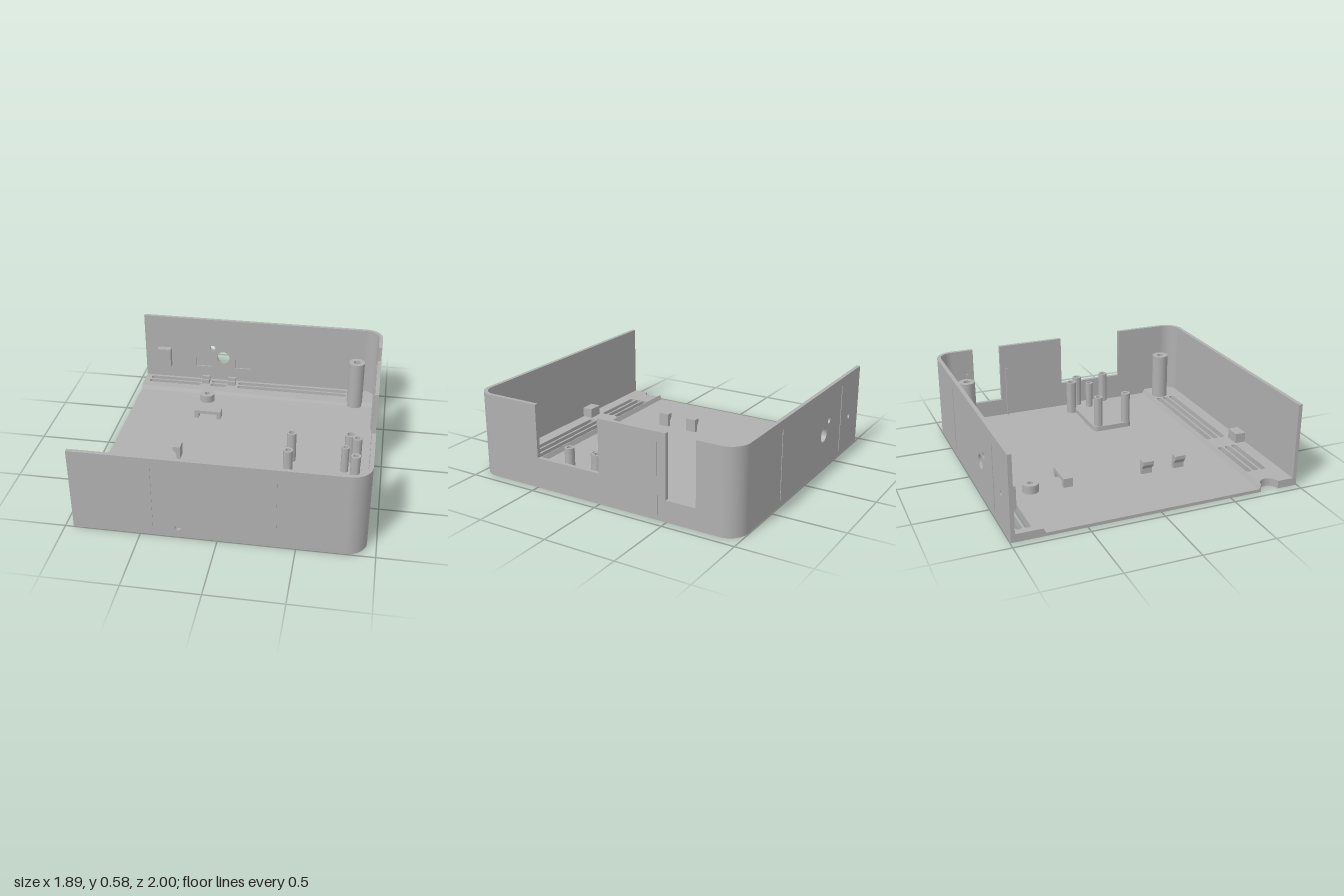
import * as THREE from 'three';
import { toCreasedNormals } from 'three/addons/utils/BufferGeometryUtils.js';

const L = -0.945, R = 0.94, Z = 0.995;   // plan limits
const T = 0.027, H = 0.583, CR = 0.13;   // wall thickness, wall height, corner radius
const FLOOR = 0.022, STRIP = 0.055;      // floor and raised strip levels

export function createModel() {
  const group = new THREE.Group();
  const plastic = new THREE.MeshStandardMaterial({ color: 0xb0b0b0 });
  plastic.name = 'grey plastic';

  const add = (name, geo, x = 0, y = 0, z = 0) => {
    const mesh = new THREE.Mesh(geo, plastic);
    mesh.name = name;
    mesh.position.set(x, y, z);
    group.add(mesh);
    return mesh;
  };
  const extrude = (shape, depth) =>
    toCreasedNormals(new THREE.ExtrudeGeometry(shape, { depth, bevelEnabled: false, curveSegments: 16 }), 0.6);
  // Plan shapes use (x, -z); side shapes use (-z, y)
  const slab = (name, shape, y, h) => add(name, extrude(shape, h).rotateX(-Math.PI / 2), 0, y, 0);
  const sideways = (name, shape, x, w) => add(name, extrude(shape, w).rotateY(Math.PI / 2), x, 0, 0);
  const box = (name, x0, x1, y0, y1, z0, z1) =>
    add(name, new THREE.BoxGeometry(x1 - x0, y1 - y0, z1 - z0), (x0 + x1) / 2, (y0 + y1) / 2, (z0 + z1) / 2);
  const poly = pts => new THREE.Shape(pts.map(p => new THREE.Vector2(...p)));
  const circle = (x, y, r) => new THREE.Path().absarc(x, y, r, 0, Math.PI * 2, true);
  const rect = (x, y, w, h) => new THREE.Path([[-1, -1], [-1, 1], [1, 1], [1, -1]].map(
    ([a, b]) => new THREE.Vector2(x + a * w / 2, y + b * h / 2)));
  const slot = (x0, x1, z, w = 0.04) => {
    const r = w / 2;
    const p = new THREE.Path();
    p.absarc(x1 - r, -z, r, -Math.PI / 2, Math.PI / 2, false);
    p.absarc(x0 + r, -z, r, Math.PI / 2, Math.PI * 1.5, false);
    p.closePath();
    return p;
  };

  // Hole layouts
  const frontSlots = [0.75, 0.805, 0.86].flatMap(z => [slot(-0.75, -0.33, z), slot(-0.18, 0.69, z)]);
  const backSlots = [-0.87, -0.925].flatMap(z =>
    [slot(-0.9, -0.48, z), slot(-0.4, -0.27, z), slot(-0.18, 0.69, z)]);
  const edgeSlot = slot(-0.9, 0.69, -0.972, 0.03);
  const boreHoles = [[0.76, -0.8], [0.76, 0.79]].map(([x, z]) => circle(x, -z, 0.048));

  // Floor with rounded right corners and a half-round notch at the open side
  const floor = new THREE.Shape();
  floor.moveTo(L, -Z);
  floor.lineTo(R - CR, -Z);
  floor.absarc(R - CR, -Z + CR, CR, -Math.PI / 2, 0, false);
  floor.lineTo(R, Z - CR);
  floor.absarc(R - CR, Z - CR, CR, 0, Math.PI / 2, false);
  floor.lineTo(L, Z);
  floor.lineTo(L, -0.725);
  floor.absarc(L, -0.79, 0.065, Math.PI / 2, -Math.PI / 2, true);
  floor.closePath();
  floor.holes.push(...frontSlots, ...backSlots, edgeSlot, ...boreHoles,
    circle(0.77, -0.03, 0.024), circle(0.745, -0.17, 0.016), circle(-0.39, 0.69, 0.02));
  slab('floor', floor, 0, FLOOR);

  // Raised vent strips along the front and back walls
  const inR = R - T, inZ = Z - T, ir = CR - T;
  const front = new THREE.Shape();
  front.moveTo(L, -inZ);
  front.lineTo(inR - ir, -inZ);
  front.absarc(inR - ir, -inZ + ir, ir, -Math.PI / 2, 0, false);
  front.lineTo(inR, -0.725);
  front.lineTo(L, -0.725);
  front.absarc(L, -0.79, 0.065, Math.PI / 2, -Math.PI / 2, true);
  front.closePath();
  front.holes.push(...frontSlots, boreHoles[1]);
  slab('frontVentStrip', front, FLOOR, STRIP - FLOOR);
  const back = new THREE.Shape();
  back.moveTo(L, 0.788);
  back.lineTo(inR, 0.788);
  back.lineTo(inR, inZ - ir);
  back.absarc(inR - ir, inZ - ir, ir, 0, Math.PI / 2, false);
  back.lineTo(L, inZ);
  back.closePath();
  back.holes.push(...backSlots, boreHoles[0]);
  slab('backVentStrip', back, FLOOR, STRIP - FLOOR);
  sideways('frontStripSlope', poly([[-0.725, FLOOR], [-0.71, FLOOR], [-0.725, STRIP]]), L, inR - L);
  sideways('backStripSlope', poly([[0.788, FLOOR], [0.788, STRIP], [0.772, FLOOR]]), L, inR - L);

  // Front and back walls; the back has an inner layer with two pockets
  const wall = holes => {
    const s = poly([[L, FLOOR], [R - CR, FLOOR], [R - CR, H], [L, H]]);
    s.holes.push(...holes);
    return s;
  };
  add('frontWall', extrude(wall([circle(-0.255, 0.07, 0.02)]), T), 0, 0, inZ);
  const backHoles = [circle(-0.31, 0.255, 0.05), circle(-0.395, 0.335, 0.022), circle(-0.77, 0.25, 0.018)];
  const pockets = [-0.47, -0.15].map(x => rect(x, 0.205, 0.13, 0.075));
  add('backWall', extrude(wall(backHoles), 0.015), 0, 0, -Z);
  add('backWallInnerLayer', extrude(wall([...backHoles, ...pockets]), T - 0.015), 0, 0, -Z + 0.015);

  // Rounded corners
  for (const s of [1, -1]) {
    const c = new THREE.Shape();
    const cx = R - CR, cy = s * (Z - CR);
    c.absarc(cx, cy, CR, 0, s * Math.PI / 2, s < 0);
    c.absarc(cx, cy, ir, s * Math.PI / 2, 0, s > 0);
    c.closePath();
    slab(s > 0 ? 'backCorner' : 'frontCorner', c, FLOOR, H - FLOOR);
  }

  // Right wall with two cut-outs
  const e = Z - CR;
  sideways('rightWall', poly([[-e, FLOOR], [e, FLOOR], [e, H], [0.705, H], [0.705, 0.147], [0.495, 0.147],
    [0.495, H], [0, H], [0, 0.212], [-0.49, 0.212], [-0.49, H], [-e, H]]), inR, T);
  for (const z of [-0.757, -0.45]) box('guideRail', inR - 0.014, inR, FLOOR, 0.4, z - 0.007, z + 0.007);

  // Thin outer ribs
  const d = 0.004;
  for (const x of [-0.42, 0.37]) box('frontRib', x - 0.005, x + 0.005, 0.04, 0.52, Z - d, Z + d);
  for (const x of [-0.61, 0.37]) box('backRib', x - 0.005, x + 0.005, 0.04, 0.52, -Z - d, -Z + d);
  box('rightRib', R - d, R + d, 0.04, 0.52, -0.435, -0.425);

  // Hollow posts; hole is closed at level 'b' when blind
  const post = (name, x, z, profile) =>
    add(name, toCreasedNormals(new THREE.LatheGeometry(profile.map(p => new THREE.Vector2(...p)), 32), 0.6), x, 0, z);
  const tube = (ro, ri, h, y0 = 0.002) => [[ro, y0], [ro, h], [ri, h], [ri, y0]];
  const blind = (ro, ri, h, b) => [[ro, FLOOR], [ro, h], [ri, h], [ri, b], [0, b]];
  for (const z of [-0.8, 0.79]) {
    post('cornerScrewPost', 0.76, z,
      [[0.06, 0.004], [0.06, 0.395], [0.026, 0.395], [0.026, 0.1], [0.048, 0.1], [0.048, 0.004]]);
  }
  post('shortStandoff', -0.39, -0.69, tube(0.056, 0.02, 0.08));
  post('sidePost', 0.77, 0.03, tube(0.037, 0.024, 0.27));
  post('middlePost', 0.745, 0.17, tube(0.027, 0.016, 0.252));

  // Raised mounting pad with four posts
  const pad = new THREE.Shape();
  const pr = 0.035;
  pad.absarc(0.862 - pr, -0.05 - pr, pr, 0, Math.PI / 2, false);
  pad.absarc(0.328 + pr, -0.05 - pr, pr, Math.PI / 2, Math.PI, false);
  pad.absarc(0.328 + pr, -0.353 + pr, pr, Math.PI, Math.PI * 1.5, false);
  pad.absarc(0.862 - pr, -0.353 + pr, pr, Math.PI * 1.5, Math.PI * 2, false);
  pad.closePath();
  pad.holes.push(circle(0.745, -0.17, 0.016));
  slab('mountingPad', pad, FLOOR, 0.036);
  for (const x of [0.365, 0.822]) {
    for (const z of [0.095, 0.316]) post('mountingPost', x, z, blind(0.033, 0.019, 0.285, 0.1));
  }

  // Cable bridge on the floor
  box('bridgeTop', -0.437, -0.235, 0.06, 0.085, -0.475, -0.41);
  box('bridgeLeg', -0.437, -0.405, FLOOR, 0.06, -0.475, -0.41);
  box('bridgeLeg', -0.267, -0.235, FLOOR, 0.06, -0.475, -0.41);

  // Floor hooks, wider at the top
  const hook = poly([[-0.45, FLOOR], [-0.422, FLOOR], [-0.422, 0.12], [-0.475, 0.12], [-0.475, 0.095], [-0.45, 0.06]]);
  for (const z of [0.085, 0.325]) add('floorHook', extrude(hook, 0.078), 0, 0, z);

  // Small saddles on the back strip
  for (const x of [-0.443, -0.232]) {
    box('saddleBase', x - 0.03, x + 0.03, STRIP, 0.08, -0.935, -0.88);
    box('saddleLip', x - 0.03, x + 0.03, 0.08, 0.105, -0.935, -0.912);
    box('saddleLip', x - 0.03, x + 0.03, 0.08, 0.09, -0.892, -0.88);
  }

  // Screw blocks on the walls
  box('backWallBlock', -0.838, -0.733, 0.16, 0.315, -inZ - 0.002, -0.92);
  box('frontWallBlock', -0.312, -0.203, STRIP - 0.01, 0.125, 0.892, inZ + 0.002);
  return group;
}
